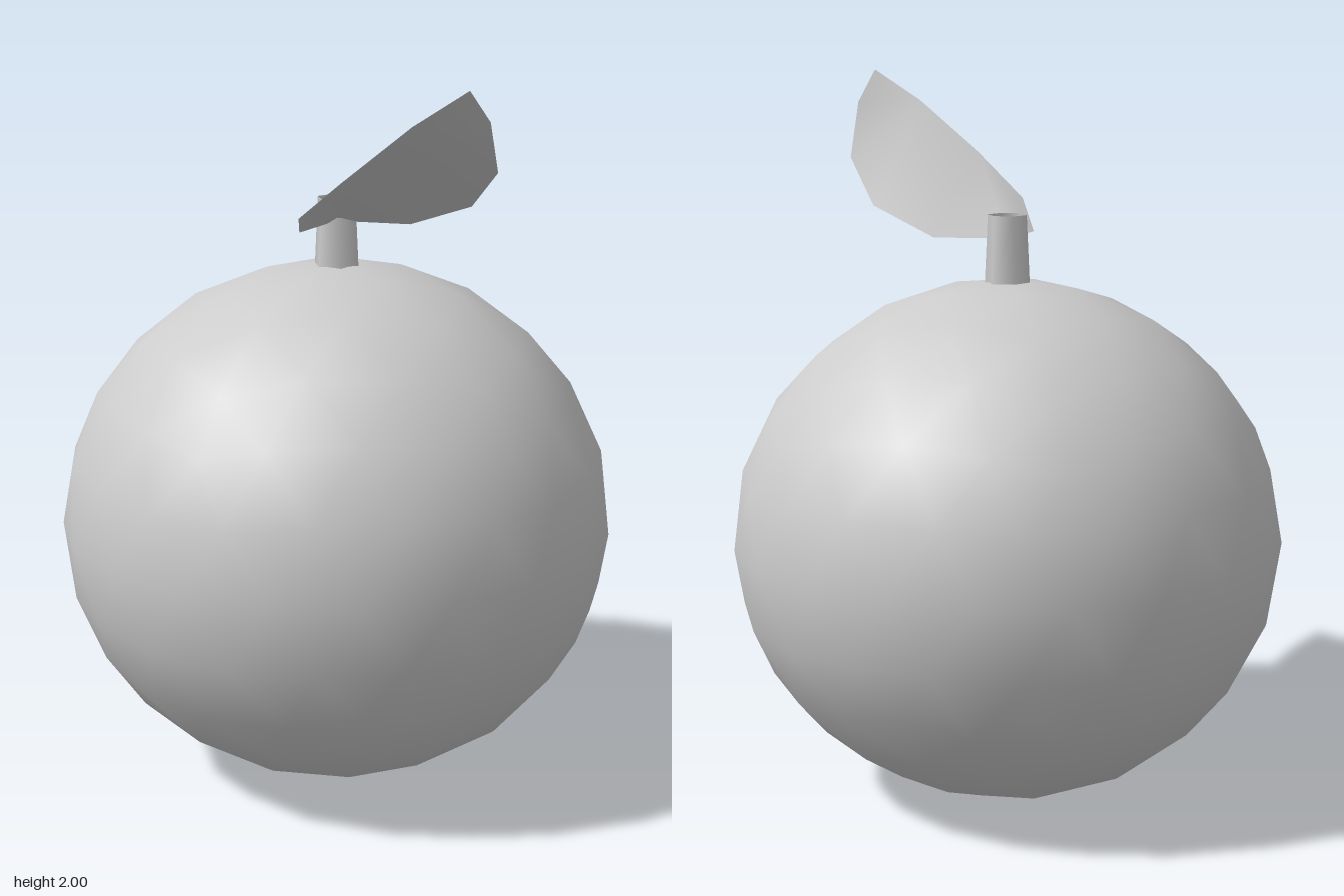
import * as THREE from 'three';

const material = new THREE.MeshStandardMaterial({ color: 0xcccccc, side: THREE.DoubleSide });

function addPart(group, name, geometry) {
  const mesh = new THREE.Mesh(geometry, material);
  mesh.name = name;
  group.add(mesh);
  return mesh;
}

// Thin leaf: a single bent outline, triangulated with a few long folds
function leafGeometry() {
  const heights = [1.565, 1.64, 1.76, 1.91];
  const front = [[0.07, 0.19], [0.235, 0.33], [0.445, 0.37], [0.64, 0.32]];
  const back = [[0.17, -0.115], [0.39, -0.128], [0.58, -0.03], [0.70, 0.12]];
  const positions = [0, 1.565, 0]; // 0: base
  for (const edge of [front, back]) // 1-4: front edge, 5-8: back edge
    edge.forEach(([x, z], i) => positions.push(x, heights[i], z));
  positions.push(0.76, 2, 0.25); // 9: tip
  const geometry = new THREE.BufferGeometry();
  geometry.setAttribute('position', new THREE.Float32BufferAttribute(positions, 3));
  geometry.setIndex([
    0, 1, 3, 1, 2, 3, 0, 3, 5, 3, 4, 5,
    5, 4, 6, 6, 4, 7, 7, 4, 8, 8, 4, 9,
  ]);
  geometry.computeVertexNormals();
  return geometry;
}

export function createModel() {
  const group = new THREE.Group();
  group.name = 'fruit';

  // Slightly flattened round body, one icosahedron corner turned to the top
  const body = new THREE.IcosahedronGeometry(0.765, 3);
  body.rotateZ(-Math.atan(2 / (1 + Math.sqrt(5))));
  body.scale(1, 0.727 / 0.765, 1);
  addPart(group, 'fruitBody', body).position.y = 0.727;

  // Hollow six-sided stem
  const stem = new THREE.CylinderGeometry(0.054, 0.063, 0.19, 6, 1, true);
  addPart(group, 'stem', stem).position.y = 1.535;

  addPart(group, 'leaf', leafGeometry());
  return group;
}
